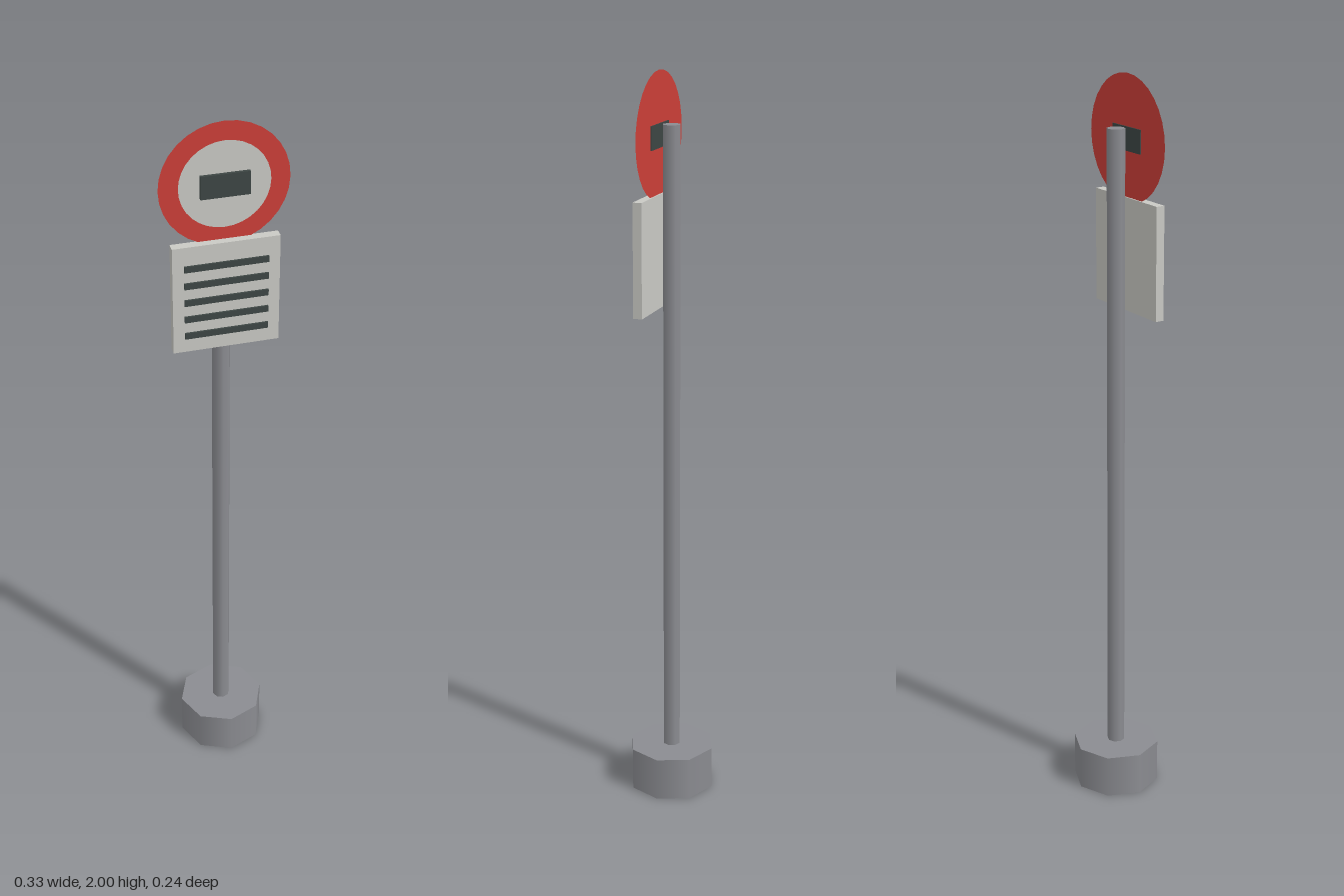
import * as THREE from 'three';

const paint = (name, color, side = THREE.FrontSide) => {
  const m = new THREE.MeshStandardMaterial({ color, side });
  m.name = name;
  return m;
};

export function createModel() {
  const group = new THREE.Group();
  group.name = 'streetSign';

  const grey = paint('steel grey', 0x8b8c91);
  const red = paint('sign red', 0xcc3f38, THREE.DoubleSide);
  const white = paint('panel white', 0xc9c9c4);
  const dark = paint('dark slate', 0x3d4644);

  const add = (name, geometry, material, x, y, z) => {
    const mesh = new THREE.Mesh(geometry, material);
    mesh.name = name;
    mesh.position.set(x, y, z);
    group.add(mesh);
  };

  // Eight-sided foot and pole
  add('base', new THREE.CylinderGeometry(0.12, 0.12, 0.12, 8), grey, 0, 0.06, 0);
  add('pole', new THREE.CylinderGeometry(0.024, 0.024, 1.865, 8), grey, 0, 0.9325, 0);

  // Round sign: thin red disc, pale centre on the front, bar set through both
  const signY = 1.835;
  add('signDisc', new THREE.CircleGeometry(0.165, 32), red, 0, signY, 0.034);
  add('signCentre', new THREE.CircleGeometry(0.116, 32), white, 0, signY, 0.037);
  add('signBar', new THREE.BoxGeometry(0.125, 0.062, 0.014), dark, 0, signY, 0.038);

  // Timetable panel with five raised lines
  add('panel', new THREE.BoxGeometry(0.275, 0.3, 0.024), white, 0, 1.535, 0.042);
  for (let i = 0; i < 5; i++) {
    add('panelLine' + (i + 1), new THREE.BoxGeometry(0.216, 0.017, 0.009), dark, 0, 1.625 - i * 0.048, 0.0545);
  }

  return group;
}
